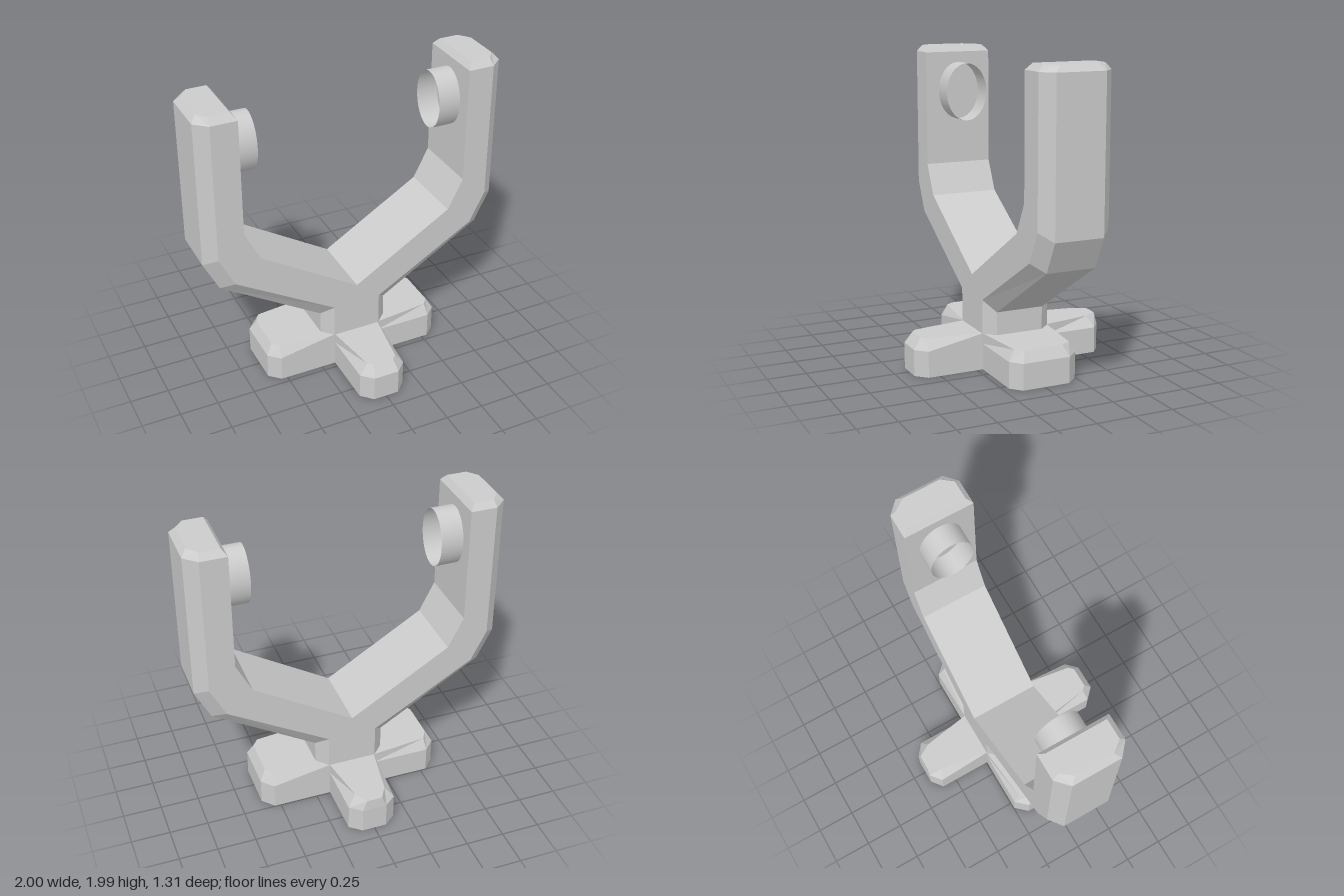
import * as THREE from 'three';

const flat = new THREE.MeshStandardMaterial({ color: 0xcccccc, flatShading: true, side: THREE.DoubleSide });
const smooth = new THREE.MeshStandardMaterial({ color: 0xcccccc, side: THREE.DoubleSide });

// Skins a stack of loops (counter-clockwise from above) and closes the top with a fan
function loft(loops) {
  const pos = [];
  const tri = (...pts) => pts.forEach((p) => pos.push(...p));
  for (let i = 0; i < loops.length - 1; i++) {
    const lo = loops[i], hi = loops[i + 1], n = lo.length;
    for (let j = 0; j < n; j++) {
      const k = (j + 1) % n;
      const quad = [lo[j], lo[k], hi[k], hi[j]];
      if (quad.every((p) => p[0] === 0)) continue; // hidden seam on the centre plane
      tri(quad[0], quad[1], quad[2]);
      tri(quad[0], quad[2], quad[3]);
    }
  }
  const top = loops[loops.length - 1];
  const centre = [0, 1, 2].map((a) => top.reduce((s, p) => s + p[a], 0) / top.length);
  top.forEach((p, j) => tri(centre, p, top[(j + 1) % top.length]));
  const g = new THREE.BufferGeometry();
  g.setAttribute('position', new THREE.Float32BufferAttribute(pos, 3));
  g.computeVertexNormals();
  return g;
}

function add(parent, name, geometry, material) {
  const mesh = new THREE.Mesh(geometry, material);
  mesh.name = name;
  parent.add(mesh);
  return mesh;
}

// Six-sided arm section: inner edge, chamfer start and outer edge as [x, y]
function armSection([inner, mid, outer], inset = 0) {
  const f = 0.215 - inset, b = -0.245 + inset;
  return [
    [inner[0], inner[1], f], [mid[0], mid[1], f], [outer[0], outer[1], f - 0.07],
    [outer[0], outer[1], b + 0.075], [mid[0], mid[1], b], [inner[0], inner[1], b],
  ];
}

export function createModel() {
  const model = new THREE.Group();
  model.name = 'forkStand';

  // Half of the forked yoke, from stem to arm tip
  const arm = loft([
    armSection([[0, 0.24], [0.16, 0.24], [0.23, 0.24]]),
    armSection([[0, 0.59], [0.16, 0.46], [0.23, 0.39]]),
    armSection([[0.65, 0.99], [0.82, 0.85], [0.9, 0.8]]),
    armSection([[0.75, 1.19], [0.92, 1.05], [1, 1]]),
    armSection([[0.75, 1.95], [0.92, 1.95], [1, 1.95]]),
    armSection([[0.78, 1.99], [0.91, 1.99], [0.965, 1.99]], 0.035),
  ]);

  // Hollow oval pivot collar on the inner face of an arm
  const collar = new THREE.CylinderGeometry(0.193, 0.193, 0.145, 32, 1, true);
  collar.rotateZ(Math.PI / 2).scale(1, 1, 0.75).translate(0.6775, 1.687, -0.02);

  for (const side of [1, -1]) {
    const half = new THREE.Group();
    half.name = side > 0 ? 'leftFork' : 'rightFork';
    half.scale.x = side;
    add(half, 'arm', arm, flat);
    add(half, 'pivotCollar', collar, smooth);
    model.add(half);
  }

  // Cross-shaped foot, open below: [x, z] of the wall, then [x, z] of the bevelled top
  const outline = [
    [0.085, 0.65, 0.07, 0.6], [0.155, 0.58, 0.1, 0.57], [0.155, 0.21, 0.155, 0.21],
    [0.54, 0.21, 0.53, 0.17], [0.61, 0.145, 0.57, 0.12], [0.61, -0.17, 0.57, -0.14],
    [0.54, -0.245, 0.53, -0.205], [0.155, -0.245, 0.155, -0.245],
    [0.155, -0.6, 0.1, -0.57], [0.08, -0.66, 0.05, -0.655],
  ];
  const mirrored = outline.map(([x, z, tx, tz]) => [-x, z, -tx, tz]).reverse();
  const full = [...outline, ...mirrored];
  const wall = (y) => full.map((p) => [p[0], y, p[1]]);
  add(model, 'crossFoot', loft([wall(0), wall(0.17), full.map((p) => [p[2], 0.24, p[3]])]), flat);

  return model;
}
